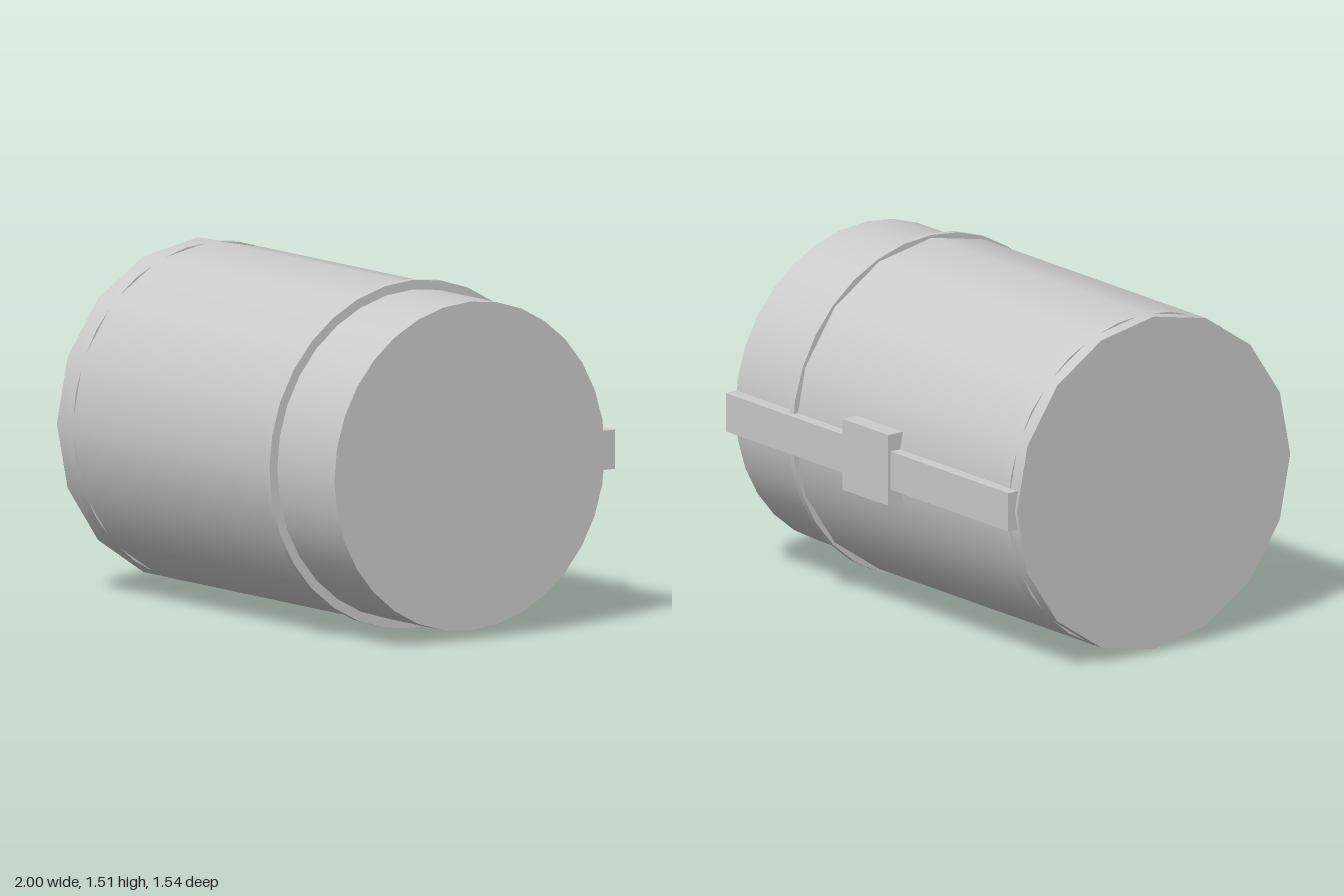
import * as THREE from 'three';

export function createModel() {
  const model = new THREE.Group();
  const grey = new THREE.MeshStandardMaterial({ color: 0xcccccc });
  grey.name = 'light grey';
  const CY = 0.753, CZ = 0.018; // axis of the drum, running along x

  function add(name, geometry, x, y, z) {
    const mesh = new THREE.Mesh(geometry, grey);
    mesh.name = name;
    mesh.position.set(x, y, z);
    model.add(mesh);
  }

  // Capped cylinder along x between x0 and x1
  function drum(name, radius, x0, x1, sides) {
    const geometry = new THREE.CylinderGeometry(radius, radius, x1 - x0, sides);
    geometry.rotateZ(-Math.PI / 2);
    add(name, geometry, (x0 + x1) / 2, CY, CZ);
  }

  // Box given by its limits
  function block(name, x0, x1, y0, y1, z0, z1) {
    add(name, new THREE.BoxGeometry(x1 - x0, y1 - y0, z1 - z0),
      (x0 + x1) / 2, (y0 + y1) / 2, (z0 + z1) / 2);
  }

  // Sixteen-sided main body; the rounder end band shows through its flats
  drum('body', 0.74, -1, 0.56, 16);
  drum('endBand', 0.736, -0.935, -0.888, 32);

  // Raised rim and the narrower neck
  drum('rim', 0.753, 0.55, 0.58, 32);
  drum('neck', 0.712, 0.56, 1, 32);

  // Rail along the back with a mounting plate
  block('rail', -0.985, 0.985, 0.67, 0.84, -0.758, -0.697);
  block('mountingPlate', -0.163, 0.155, 0.6, 0.915, -0.77, -0.69);

  return model;
}
